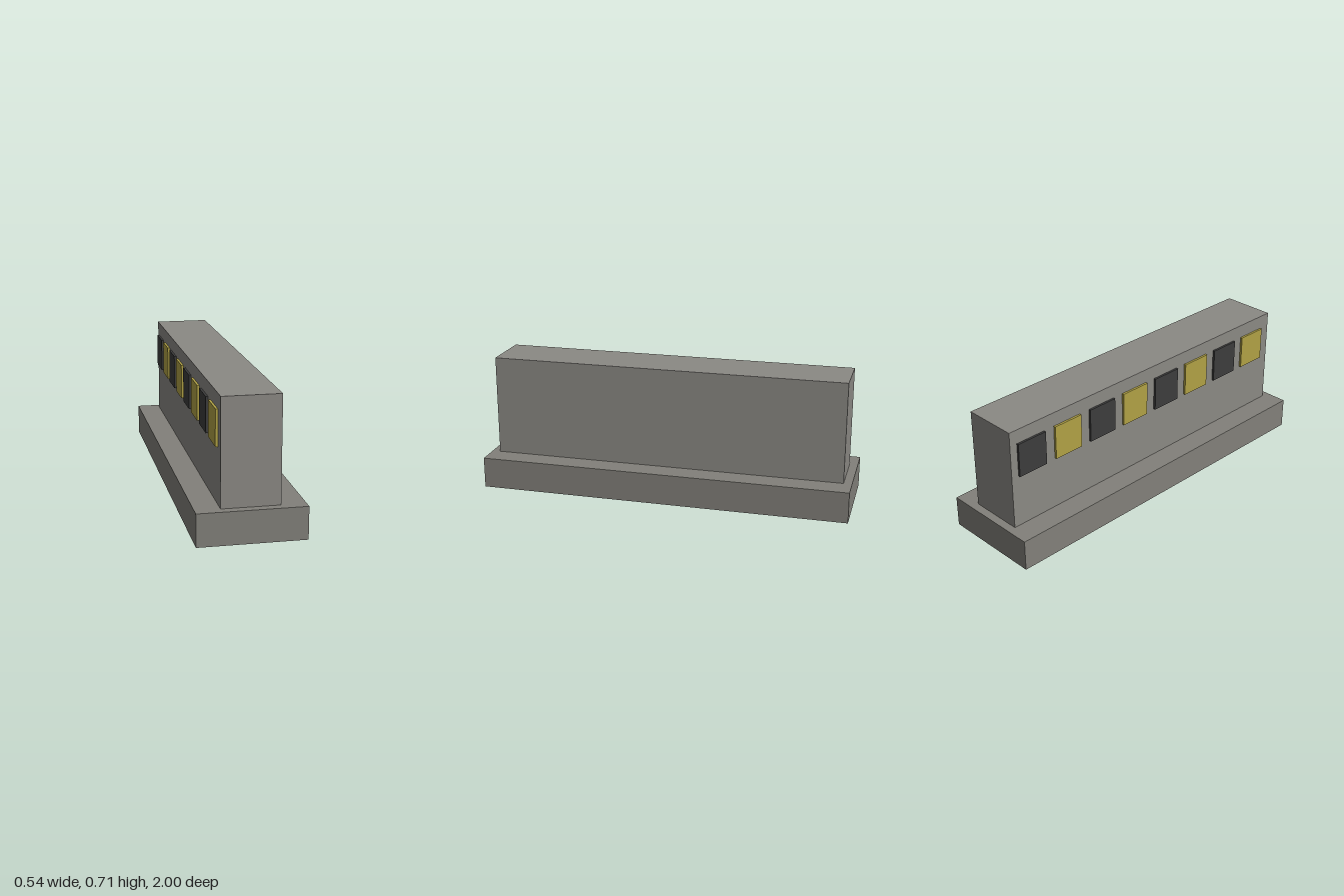
import * as THREE from 'three';

const GREY = 0x8b8984, BASE_GREY = 0x82807a, DARK = 0x3c3c3c, YELLOW = 0xb0a145;

export function createModel() {
  const model = new THREE.Group();
  model.name = 'wallBlock';

  const materials = {};
  const material = (color) =>
    (materials[color] ??= new THREE.MeshStandardMaterial({ color }));

  // Box given by its size and the position of its centre
  function addBox(name, color, [w, h, d], [x, y, z]) {
    const mesh = new THREE.Mesh(new THREE.BoxGeometry(w, h, d), material(color));
    mesh.name = name;
    mesh.position.set(x, y, z);
    model.add(mesh);
  }

  // Plinth and the tall body standing on it
  const baseH = 0.167, topY = 0.708, bodyW = 0.292;
  addBox('base', BASE_GREY, [0.542, baseH, 2], [0, baseH / 2, 0]);
  addBox('body', GREY, [bodyW, topY - baseH, 1.912], [0, (topY + baseH) / 2, 0]);

  // Row of window panels on the right side, dark and lit in turn
  const panelT = 0.012;
  for (let i = 0; i < 8; i++) {
    const lit = i % 2 === 1;
    addBox(lit ? 'litWindow' : 'darkWindow', lit ? YELLOW : DARK,
      [panelT, 0.183, 0.172],
      [-bodyW / 2 - panelT / 2, 0.542, -0.828 + i * 0.2333]);
  }

  return model;
}
